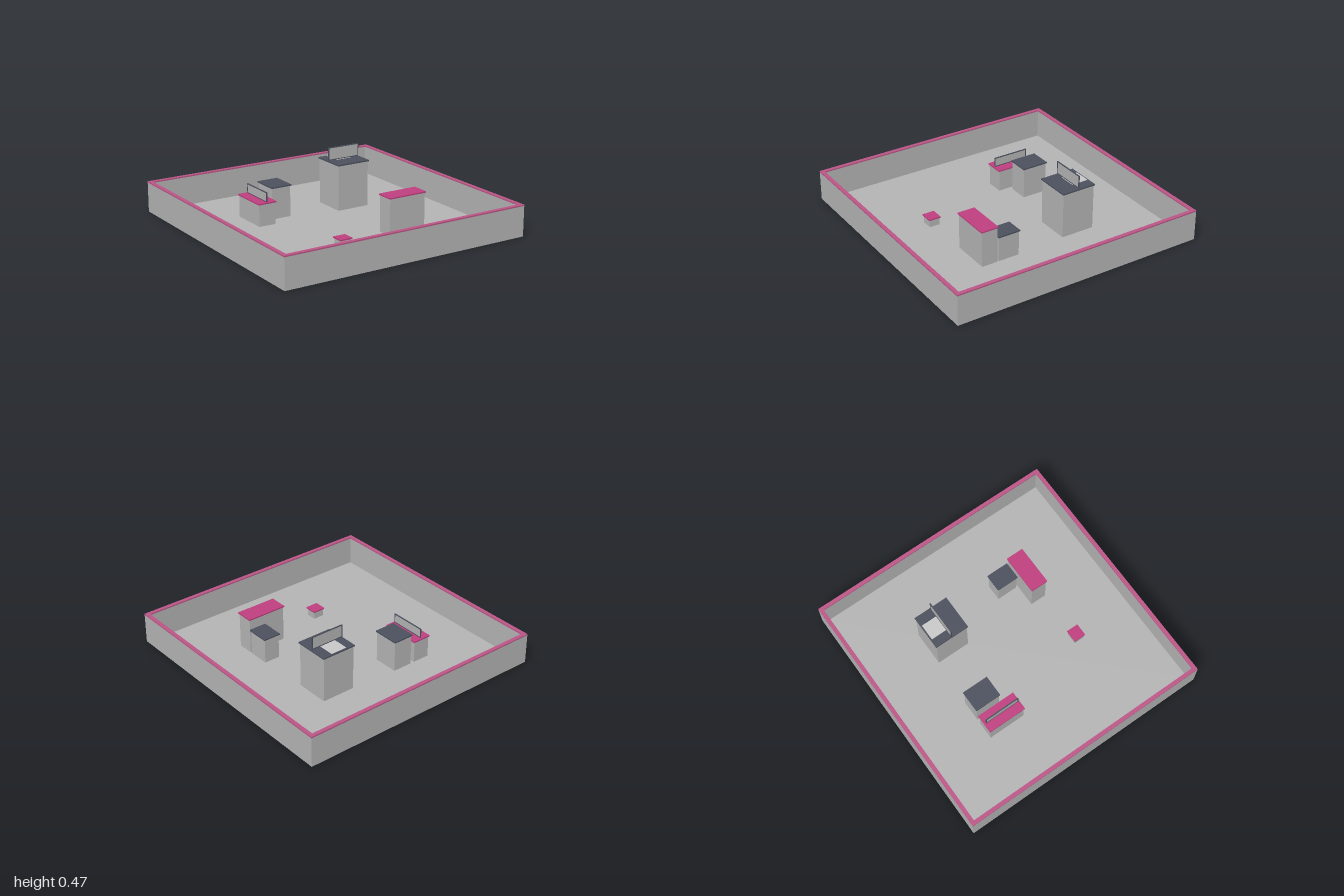
import * as THREE from 'three';

const material = (name, color) => {
  const m = new THREE.MeshStandardMaterial({ color });
  m.name = name;
  return m;
};

export function createModel() {
  const model = new THREE.Group();
  model.name = 'walledYard';
  const concrete = material('concrete grey', 0xb5b5b5);
  const slate = material('dark slate', 0x4c515e);
  const pink = material('magenta', 0xc03f80);
  const trimPink = material('soft magenta', 0xbd5687);
  const pale = material('pale grey', 0xcacaca);

  // Box given by its lower and upper limits on each axis
  const box = (parent, name, mat, [x0, x1], [y0, y1], [z0, z1]) => {
    const mesh = new THREE.Mesh(new THREE.BoxGeometry(x1 - x0, y1 - y0, z1 - z0), mat);
    mesh.position.set((x0 + x1) / 2, (y0 + y1) / 2, (z0 + z1) / 2);
    mesh.name = name;
    parent.add(mesh);
    return mesh;
  };

  // Floor slab
  const T = 0.03, H = 0.24, capH = 0.01, floorTop = 0.008;
  box(model, 'floor', concrete, [-1 + T, 1 - T], [0, floorTop], [-1 + T, 1 - T]);

  // Square ring for the perimeter wall and its coping
  const ring = (name, mat, y0, y1) => {
    const square = (P, r) => {
      const p = new P();
      p.moveTo(-r, -r).lineTo(r, -r).lineTo(r, r).lineTo(-r, r).closePath();
      return p;
    };
    const shape = square(THREE.Shape, 1);
    shape.holes.push(square(THREE.Path, 1 - T));
    const geo = new THREE.ExtrudeGeometry(shape, { depth: y1 - y0, bevelEnabled: false });
    geo.rotateX(-Math.PI / 2).translate(0, y0, 0);
    const mesh = new THREE.Mesh(geo, mat);
    mesh.name = name;
    model.add(mesh);
  };
  ring('perimeterWall', concrete, 0, H - capH);
  ring('wallCoping', trimPink, H - capH, H);

  // Buildings: plain block under a slightly overhanging flat roof
  const inset = 0.007;
  const buildings = [
    ['signShop', pink, [-0.5, -0.35], [-0.5, -0.19], 0.185],
    ['neighbourShop', slate, [-0.33, -0.16], [-0.5, -0.29], 0.257],
    ['tower', slate, [0.2, 0.48], [-0.48, -0.2], 0.37],
    ['longHall', pink, [0.18, 0.5], [0.36, 0.5], 0.295],
    ['annex', slate, [0.36, 0.5], [0.18, 0.36], 0.21],
    ['kiosk', pink, [-0.265, -0.165], [0.44, 0.535], 0.075],
  ];
  for (const [name, mat, x, z, top] of buildings) {
    const g = new THREE.Group();
    g.name = name;
    const shrink = ([a, b]) => [a + inset, b - inset];
    box(g, 'walls', concrete, shrink(x), [0.002, top - capH], shrink(z));
    box(g, 'roof', mat, x, [top - capH, top], z);
    model.add(g);
  }

  // Pale hatch on the tower roof
  box(model, 'roofHatch', pale, [0.27, 0.4], [0.369, 0.373], [-0.47, -0.335]);

  // Framed rooftop panel, built facing +z
  const panel = (name, w, h, x, y, z, turn) => {
    const g = new THREE.Group();
    g.name = name;
    const f = 0.006, d = 0.004;
    box(g, 'panelFace', concrete, [-w / 2 + f, w / 2 - f], [f, h - f], [-d * 0.6, d * 0.6]);
    for (const y0 of [0, h - f]) box(g, 'frameRail', slate, [-w / 2, w / 2], [y0, y0 + f], [-d, d]);
    for (const s of [-1, 1]) {
      const cx = s * (w / 2 - f / 2);
      box(g, 'framePost', slate, [cx - f / 2, cx + f / 2], [f, h - f], [-d, d]);
    }
    g.position.set(x, y, z);
    g.rotation.y = turn;
    model.add(g);
  };
  panel('towerPanel', 0.27, 0.1, 0.338, 0.374, -0.342, 0);
  panel('shopPanel', 0.285, 0.074, -0.425, 0.186, -0.342, Math.PI / 2);

  return model;
}
